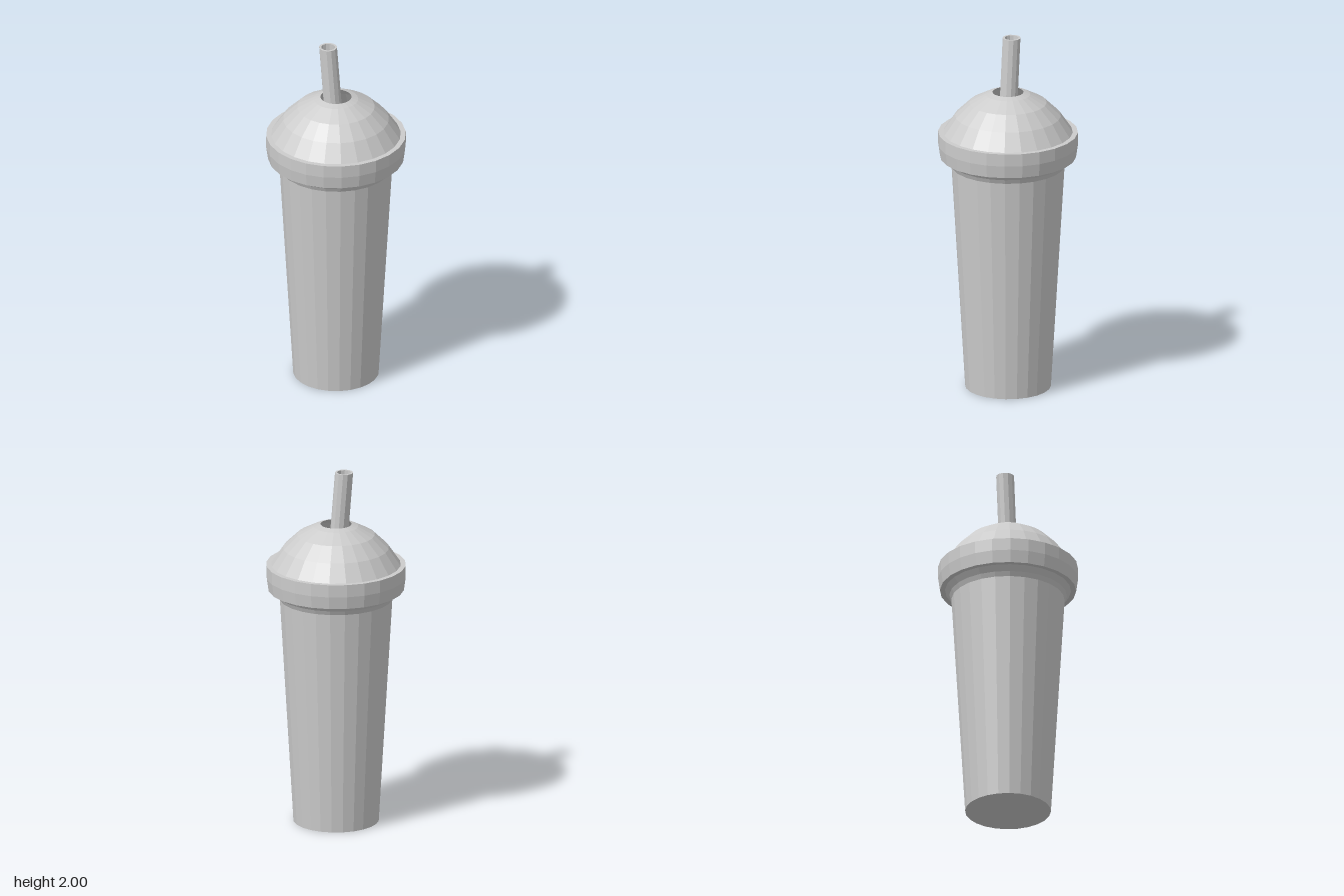
import * as THREE from 'three';

const material = new THREE.MeshStandardMaterial({
  color: 0xcccccc,
  flatShading: true,
  side: THREE.DoubleSide,
});

// Revolves a list of [radius, height] points around the y axis.
function turned(name, profile, sides = 24, start = 0) {
  const points = profile.map(([r, y]) => new THREE.Vector2(r, y));
  const mesh = new THREE.Mesh(new THREE.LatheGeometry(points, sides, start), material);
  mesh.name = name;
  return mesh;
}

export function createModel() {
  const group = new THREE.Group();
  group.name = 'drinkCup';

  // Tapered cup with a flat base and a flared mouth
  group.add(turned('cup', [
    [0, 0], [0.235, 0], [0.31, 1.275], [0.322, 1.3], [0.345, 1.33],
  ]));

  // Thick band where the lid grips the cup
  group.add(turned('lidRim', [
    [0.335, 1.33], [0.373, 1.33], [0.383, 1.4], [0.383, 1.47], [0.355, 1.47],
  ]));

  // Domed lid with an open hole at the top
  group.add(turned('domeLid', [
    [0.355, 1.47], [0.29, 1.565], [0.212, 1.64], [0.122, 1.688], [0.085, 1.7],
  ]));

  // Hollow straw, leaning by a shear so that its ends stay level
  const bottom = 1.2, top = 2;
  const straw = turned('straw', [
    [0.038, bottom], [0.05, bottom], [0.05, top], [0.038, top], [0.038, bottom],
  ], 12, Math.PI / 12);
  const lean = new THREE.Matrix4().makeShear(0, 0, -0.081, 0, 0, 0);
  const position = straw.geometry.attributes.position;
  for (let i = 0; i < position.count; i++) {
    const y = position.getY(i);
    position.setX(i, position.getX(i) - 0.045 + (top - y) * 0.081);
    position.setZ(i, position.getZ(i) + 0.006);
  }
  straw.geometry.computeVertexNormals();
  group.add(straw);

  return group;
}
